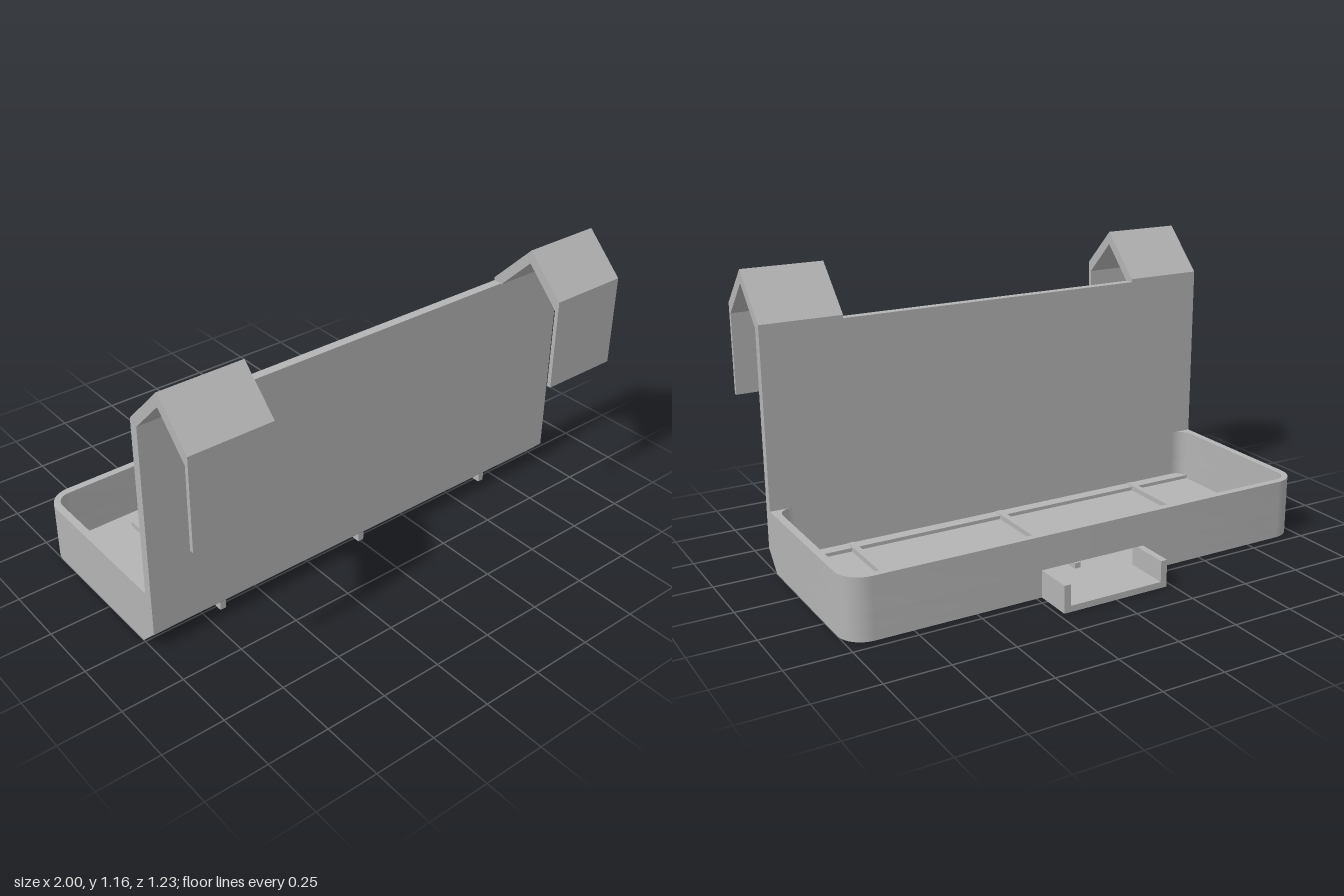
import * as THREE from 'three';
import { toCreasedNormals } from 'three/addons/utils/BufferGeometryUtils.js';

const grey = new THREE.MeshStandardMaterial({ color: 0xb4b4b4 });
grey.name = 'grey plastic';

function addMesh(group, name, geometry) {
  const mesh = new THREE.Mesh(toCreasedNormals(geometry, 0.5), grey);
  mesh.name = name;
  group.add(mesh);
}

// Extrude a plan outline (x, z) upward from y0 to y1
function slab(shape, y0, y1) {
  const g = new THREE.ExtrudeGeometry(shape, { depth: y1 - y0, bevelEnabled: false, curveSegments: 10 });
  return g.rotateX(Math.PI / 2).translate(0, y1, 0);
}

// Extrude a side profile of [z, y] points across x0 to x1
function profile(points, x0, x1) {
  const shape = new THREE.Shape(points.map(([z, y]) => new THREE.Vector2(z, y)));
  const g = new THREE.ExtrudeGeometry(shape, { depth: x1 - x0, bevelEnabled: false });
  return g.rotateY(-Math.PI / 2).translate(x1, 0, 0);
}

function box(x0, x1, y0, y1, z0, z1) {
  return new THREE.BoxGeometry(x1 - x0, y1 - y0, z1 - z0)
    .translate((x0 + x1) / 2, (y0 + y1) / 2, (z0 + z1) / 2);
}

const BACK = -0.46, FRONT = 0.28, R = 0.1, K = 0.552;

// Quarter-round corner from the current point to (x, z) around corner (cx, cz)
function corner(s, cx, cz, x, z) {
  const p = s.currentPoint;
  s.bezierCurveTo(p.x + (cx - p.x) * K, p.y + (cz - p.y) * K, x + (cx - x) * K, z + (cz - z) * K, x, z);
}

// Half of the tray wall seen from above, starting at x = start on the back side
function halfWall(side, start, front) {
  const s = new THREE.Shape(), i = BACK + 0.03, r = 0.06;
  s.moveTo(side * start, BACK);
  s.lineTo(side * (1 - R), BACK);
  corner(s, side, BACK, side, BACK + R);
  s.lineTo(side, front);
  if (front === FRONT) {
    s.lineTo(side * (0.97 - r), front);
    corner(s, side * 0.97, front, side * 0.97, front - r);
  } else {
    s.lineTo(side * 0.97, front);
  }
  s.lineTo(side * 0.97, i + r);
  corner(s, side * 0.97, i, side * (0.97 - r), i);
  s.lineTo(side * start, i);
  s.closePath();
  return s;
}

export function createModel() {
  const model = new THREE.Group();
  model.name = 'hangingTray';

  // Tray floor with rounded back corners
  const floor = new THREE.Shape();
  floor.moveTo(-1, 0.24);
  floor.lineTo(-1, BACK + R);
  corner(floor, -1, BACK, -1 + R, BACK);
  floor.lineTo(1 - R, BACK);
  corner(floor, 1, BACK, 1, BACK + R);
  floor.lineTo(1, 0.24);
  floor.closePath();
  addMesh(model, 'trayFloor', slab(floor, 0, 0.025));

  // Tray walls, leaving an opening in the middle of the back
  for (const side of [-1, 1]) {
    addMesh(model, 'trayWallBase', slab(halfWall(side, 0.2, 0.24), 0, 0.04));
    addMesh(model, 'trayWallMiddle', slab(halfWall(side, 0.2, FRONT), 0.04, 0.11));
    addMesh(model, 'trayWallTop', slab(halfWall(side, 0, FRONT), 0.11, 0.244));
  }

  // Upright plate with a chamfered foot
  addMesh(model, 'uprightPlate', profile([
    [0.24, 0], [0.317, 0.08], [0.317, 0.965], [FRONT, 0.965], [FRONT, 0.045], [0.24, 0.04],
  ], -1, 1));

  // Pointed hooks on both ends of the plate
  for (const x0 of [-1, 0.665]) {
    addMesh(model, 'hook', profile([
      [FRONT, 0.96], [0.317, 0.96], [0.458, 1.103], [0.6, 0.96], [0.6, 0.63],
      [0.617, 0.63], [0.617, 1], [0.458, 1.157], [FRONT, 0.978],
    ], x0, x0 + 0.335));
  }

  // Floor ribs
  for (const x of [-0.675, 0, 0.675]) {
    addMesh(model, 'floorRib', box(x - 0.013, x + 0.013, 0.003, 0.047, -0.35, FRONT));
  }

  // Open channel behind the back opening
  addMesh(model, 'channelFloor', box(-0.227, 0.227, 0, 0.025, -0.617, BACK));
  for (const side of [-1, 1]) {
    addMesh(model, 'channelSide', box(side * 0.2135 - 0.0135, side * 0.2135 + 0.0135, 0, 0.11, -0.617, BACK));
  }

  return model;
}
